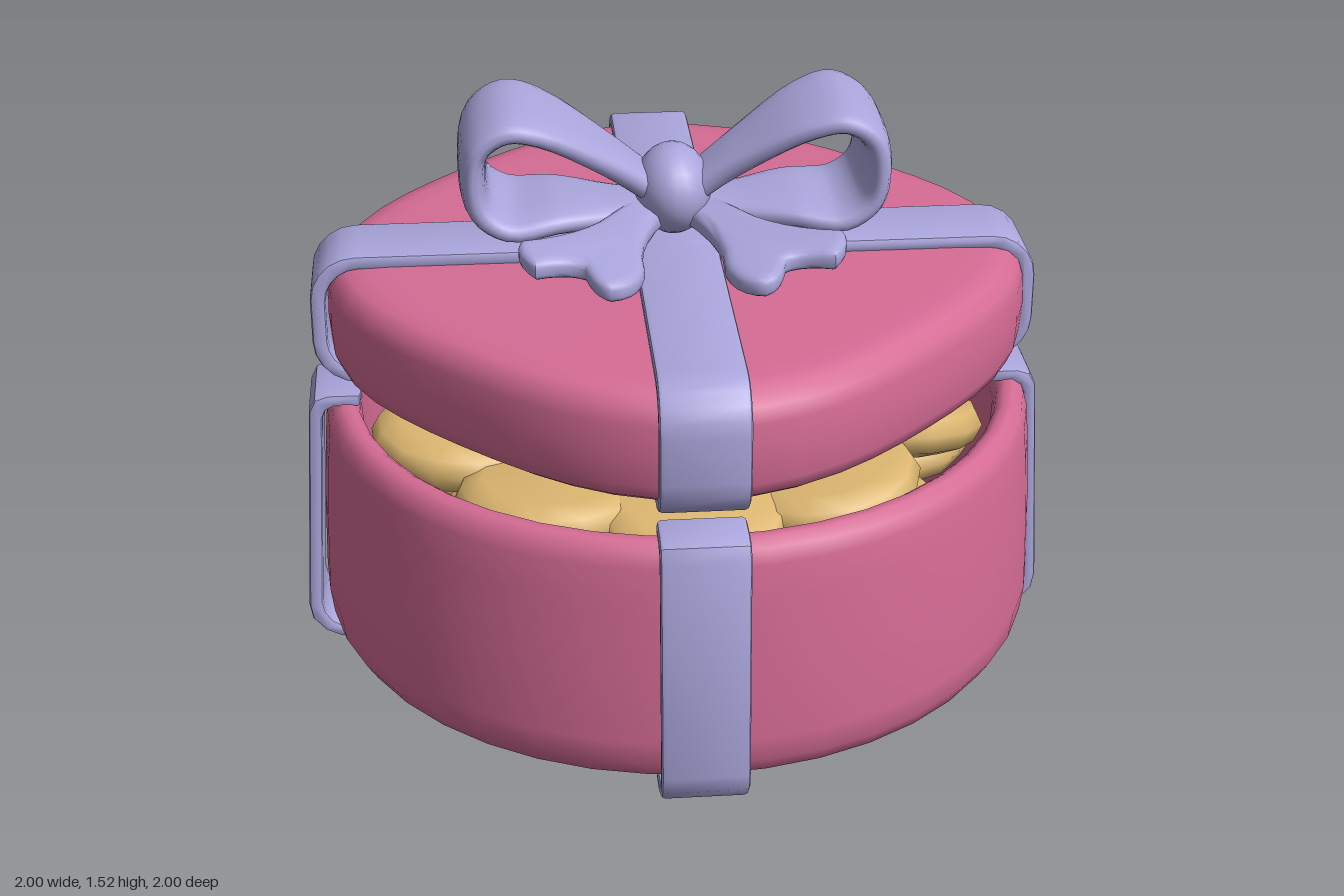
import * as THREE from 'three';
import { toCreasedNormals } from 'three/addons/utils/BufferGeometryUtils.js';
import { ParametricGeometry } from 'three/addons/geometries/ParametricGeometry.js';

const mat = (name, color) => {
  const m = new THREE.MeshStandardMaterial({ color });
  m.name = name;
  return m;
};
const v2 = (pts) => pts.map(([x, y]) => new THREE.Vector2(x, y));

export function createModel() {
  const pink = mat('pink card', 0xd66c95);
  const lilac = mat('lilac ribbon', 0xaaa6dc);
  const tan = mat('biscuit', 0xdcb670);
  const model = new THREE.Group();
  model.name = 'giftBox';
  const add = (name, geo, material, parent = model) => {
    const mesh = new THREE.Mesh(geo, material);
    mesh.name = name;
    parent.add(mesh);
    return mesh;
  };

  // Open round box: underside, outer wall, rounded rim, inner wall, floor
  const box = add('box', new THREE.LatheGeometry(v2([
    [0, 0.04], [0.8, 0.042], [0.87, 0.05], [0.925, 0.075], [0.953, 0.12], [0.962, 0.19],
    [0.956, 0.4], [0.945, 0.58], [0.937, 0.67], [0.925, 0.71], [0.9, 0.73], [0.875, 0.73],
    [0.855, 0.715], [0.845, 0.68], [0.84, 0.12], [0.82, 0.1], [0, 0.1],
  ]), 40), pink);
  box.position.set(0.012, 0, -0.008);

  // Lid: lathe pulled in on the diagonals
  const lidGeo = new THREE.LatheGeometry(v2([
    [0, 0.815], [0.8, 0.815], [0.86, 0.822], [0.895, 0.845], [0.91, 0.88], [0.916, 0.96],
    [0.912, 1.04], [0.9, 1.08], [0.87, 1.107], [0.82, 1.117], [0.76, 1.12], [0, 1.12],
  ]), 48);
  const p = lidGeo.attributes.position;
  for (let i = 0; i < p.count; i++) {
    const s = 1 - 0.085 * Math.sin(2 * Math.atan2(p.getZ(i), p.getX(i))) ** 2;
    p.setX(i, p.getX(i) * s);
    p.setZ(i, p.getZ(i) * s);
  }
  lidGeo.computeVertexNormals();
  add('lid', lidGeo, pink).position.x = 0.01;

  // Flat ribbon bands, one along x and one along z
  const mirrored = (half) => [...half, ...half.slice().reverse().map(([x, y]) => [-x, y])];
  const band = (name, shape) => {
    const bevel = 0.012, width = 0.22;
    const geo = new THREE.ExtrudeGeometry(shape, {
      depth: width - 2 * bevel, bevelEnabled: true, bevelSize: bevel,
      bevelOffset: -bevel, bevelThickness: bevel, bevelSegments: 2,
    });
    geo.translate(0, 0, -width / 2 + bevel);
    const smooth = toCreasedNormals(geo, 0.7);
    add(name + 'Across', smooth, lilac);
    add(name + 'FrontToBack', smooth, lilac).rotation.y = Math.PI / 2;
  };

  // Lower ribbon: under the box, up the sides, hooked over the rim
  const outer = mirrored([
    [-0.83, 0.757], [-0.915, 0.757], [-0.95, 0.745], [-0.967, 0.71], [-1, 0.12],
    [-0.992, 0.075], [-0.96, 0.038], [-0.92, 0.018], [-0.88, 0.01],
  ]);
  const inner = mirrored([
    [-0.83, 0.722], [-0.9, 0.722], [-0.922, 0.712], [-0.932, 0.69], [-0.962, 0.13],
    [-0.955, 0.095], [-0.935, 0.068], [-0.91, 0.053], [-0.87, 0.046],
  ]);
  band('boxRibbon', new THREE.Shape(v2([...outer, ...inner.reverse()])));

  // Upper ribbon: closed loop round the lid
  const loop = (x, y0, y1, r) => {
    const pts = [];
    [[1, 1], [-1, 1], [-1, -1], [1, -1]].forEach(([sx, sy], q) => {
      for (let i = 0; i <= 5; i++) {
        const a = (q + i / 5) * Math.PI / 2;
        pts.push([sx * (x - r) + r * Math.cos(a), (sy > 0 ? y1 - r : y0 + r) + r * Math.sin(a)]);
      }
    });
    return v2(pts);
  };
  const lidLoop = new THREE.Shape(loop(0.945, 0.79, 1.152, 0.12));
  lidLoop.holes.push(new THREE.Path(loop(0.905, 0.826, 1.114, 0.09)));
  band('lidRibbon', lidLoop);

  // Bow loops: flat section swept along a teardrop, wider at the far end
  const bow = new THREE.Group();
  bow.name = 'bow';
  model.add(bow);
  const path = new THREE.CatmullRomCurve3([
    [0.04, 1.27], [0.18, 1.375], [0.34, 1.475], [0.43, 1.495], [0.5, 1.45], [0.518, 1.37],
    [0.5, 1.28], [0.43, 1.23], [0.3, 1.235], [0.16, 1.225], [0.04, 1.22],
  ].map(([x, y]) => new THREE.Vector3(x, y, 0)));
  const zAxis = new THREE.Vector3(0, 0, 1);
  const power = (c) => Math.sign(c) * Math.abs(c) ** 0.7;
  const loopGeo = new ParametricGeometry((u, v, target) => {
    const a = v * Math.PI * 2;
    const centre = path.getPoint(u);
    const normal = path.getTangent(u).cross(zAxis);
    const spread = THREE.MathUtils.smoothstep(centre.x, 0.02, 0.45);
    target.copy(centre).addScaledVector(normal, 0.036 * power(Math.cos(a)));
    target.z += (0.075 + 0.12 * spread) * power(Math.sin(a));
  }, 40, 20);
  add('leftBowLoop', loopGeo, lilac, bow);
  add('rightBowLoop', loopGeo, lilac, bow).rotation.y = Math.PI;

  // Knot
  const knot = add('bowKnot', new THREE.SphereGeometry(1, 20, 14), lilac, bow);
  knot.scale.set(0.1, 0.118, 0.13);
  knot.position.set(0, 1.272, 0);

  // Notched tails lying forward of the knot
  for (const side of [1, -1]) {
    const shape = new THREE.Shape();
    const X = (x) => x * side;
    shape.moveTo(X(0.02), -0.05);
    shape.quadraticCurveTo(X(0.12), -0.22, X(0.105), -0.37);
    shape.quadraticCurveTo(X(0.12), -0.46, X(0.19), -0.48);
    shape.quadraticCurveTo(X(0.23), -0.47, X(0.245), -0.385);
    shape.quadraticCurveTo(X(0.29), -0.36, X(0.37), -0.4);
    shape.quadraticCurveTo(X(0.42), -0.34, X(0.4), -0.29);
    shape.quadraticCurveTo(X(0.28), -0.25, X(0.2), -0.16);
    shape.lineTo(X(0.1), -0.02);
    const geo = new THREE.ExtrudeGeometry(shape, {
      depth: 0.02, bevelEnabled: true, bevelSize: 0.025, bevelOffset: -0.02,
      bevelThickness: 0.018, bevelSegments: 3, curveSegments: 5,
    });
    geo.translate(0, 0, -0.01);
    geo.rotateX(-Math.PI / 2);
    const q = geo.attributes.position;
    for (let i = 0; i < q.count; i++) {
      const x = Math.abs(q.getX(i)), z = q.getZ(i);
      q.setY(i, q.getY(i) + 1.235 - 0.1 * (z - 0.1) + 0.12 * (x - 0.2));
    }
    add(side > 0 ? 'leftBowTail' : 'rightBowTail', toCreasedNormals(geo, 1), lilac, bow);
  }

  // Biscuits heaped inside: outer ring, inner ring and a lower layer
  const biscuitGeo = new THREE.LatheGeometry(v2([
    [0, -0.07], [0.17, -0.07], [0.235, -0.045], [0.255, 0], [0.235, 0.04], [0.18, 0.062], [0, 0.07],
  ]), 14);
  const biscuits = new THREE.Group();
  biscuits.name = 'biscuits';
  model.add(biscuits);
  [[10, 0.58, 0.65, 0.16], [5, 0.3, 0.68, 0.08], [8, 0.56, 0.54, 0.05]].forEach(([n, r, y, tilt], ring) => {
    for (let i = 0; i < n; i++) {
      const a = (i / n) * Math.PI * 2 + ring * 0.4;
      const b = add('biscuit', biscuitGeo, tan, biscuits);
      b.position.set(r * Math.sin(a), y + 0.015 * (i % 3 - 1), r * Math.cos(a));
      b.rotation.set(tilt * Math.cos(a * 3), a, tilt * Math.sin(i * 2.1));
    }
  });

  return model;
}
